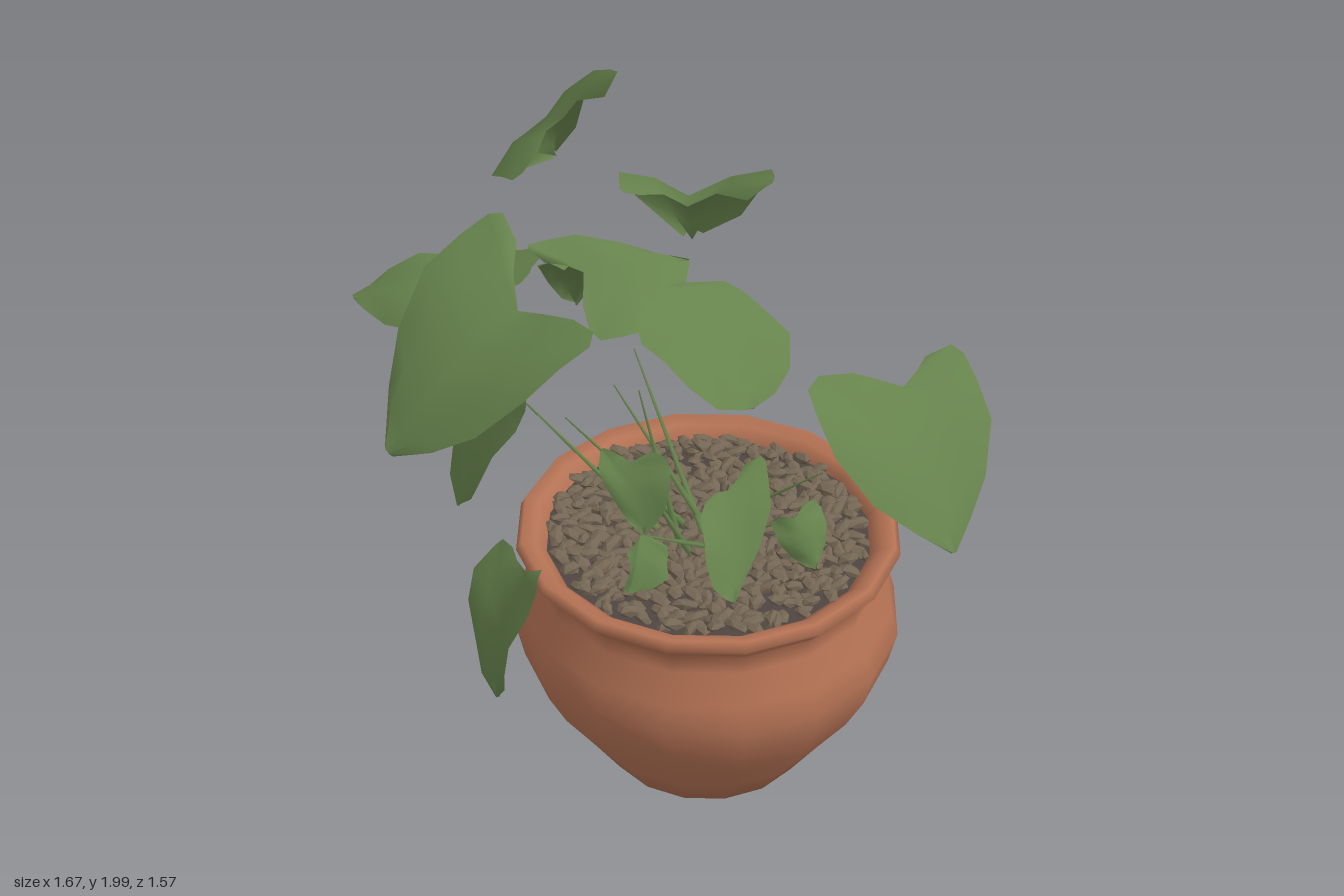
import * as THREE from 'three';
import { mergeGeometries } from 'three/addons/utils/BufferGeometryUtils.js';

const V = (p) => new THREE.Vector3(...p);
const CENTER = { x: 0.11, z: 0.22 };

// small seeded random generator
function seeded(seed) {
  return () => {
    seed = (seed * 16807) % 2147483647;
    return seed / 2147483647;
  };
}

// Heart outline rows: [share of lobe, edge position, midrib position] along notch-to-tip
const ROWS = [
  [0.5, -0.09, 0], [0.85, -0.08, 0.07], [1, 0, 0.17], [1.06, 0.18, 0.3],
  [1, 0.42, 0.48], [0.72, 0.7, 0.7], [0.38, 0.88, 0.87], [0.02, 1, 1],
];

// Heart-shaped leaf stretched between notch, tip and its two lobes, arched upward;
// a bluntness below 1 squares off the lobes and tip
function leafGeometry(notch, tip, lobeA, lobeB, arch, bluntness = 1) {
  const n = V(notch), axis = V(tip).sub(n);
  const sides = [V(lobeA).sub(n), V(lobeB).sub(n)];
  const up = new THREE.Vector3().crossVectors(sides[0].clone().sub(sides[1]), axis).normalize();
  if (up.y < 0) up.negate();
  const pos = [], index = [];
  const columns = [-1, -0.5, 0, 0.5, 1];
  ROWS.forEach(([share, edge, mid], i) => {
    const a = share ** bluntness;
    for (const c of columns) {
      const s = Math.abs(c);
      const b = mid + (edge - mid) * s;
      const p = n.clone().addScaledVector(sides[c < 0 ? 0 : 1], a * s).addScaledVector(axis, b);
      const lift = arch * axis.length() * (4 * b * (1 - b) * 0.8 + (s === 0.5 ? 0.25 : 0));
      p.addScaledVector(up, lift + (s === 1 ? 0.012 * Math.sin(i * 2.1 + c) : 0));
      pos.push(p.x, p.y, p.z);
    }
  });
  for (let i = 0; i < ROWS.length - 1; i++) {
    for (let j = 0; j < 4; j++) {
      const k = i * 5 + j;
      index.push(k, k + 5, k + 1, k + 1, k + 5, k + 6);
    }
  }
  const g = new THREE.BufferGeometry();
  g.setAttribute('position', new THREE.Float32BufferAttribute(pos, 3));
  g.setIndex(index);
  g.computeVertexNormals();
  return g;
}

// notch, tip, lobe, lobe, arch, bluntness
const LEAVES = {
  topBackLeaf: [[-0.2, 1.81, -0.38], [-0.17, 1.46, -0.78], [-0.06, 1.99, -0.29], [-0.38, 1.75, -0.18], 0.16, 0.8],
  backCentreLeaf: [[0.11, 1.63, -0.14], [0.18, 1.34, -0.43], [0.31, 1.79, 0.04], [-0.1, 1.79, -0.02], 0.22, 0.5],
  frontUpperLeaf: [[-0.03, 1.59, 0.2], [0.18, 1.36, 0.47], [0.21, 1.53, 0.16], [-0.11, 1.57, 0.42], 0.08],
  centreLeaf: [[-0.22, 1.6, 0.1], [0.08, 1.57, 0.05], [-0.36, 1.66, 0.03], [-0.2, 1.5, 0.28], 0.08],
  bigLeftLeaf: [[-0.42, 1.6, 0.26], [-0.79, 1.25, 0.36], [-0.46, 1.75, 0], [-0.27, 1.63, 0.5], 0.1, 0.7],
  backLeftLeaf: [[-0.32, 1.5, -0.13], [-0.63, 1.27, -0.35], [-0.28, 1.44, -0.31], [-0.42, 1.5, -0.02], 0.08, 0.8],
  farLeftLeaf: [[-0.53, 1.52, -0.03], [-0.83, 1.42, -0.16], [-0.5, 1.53, -0.16], [-0.55, 1.46, 0.11], 0.08],
  lowerBackLeaf: [[-0.16, 1.35, -0.33], [-0.14, 1.01, -0.64], [-0.28, 1.37, -0.32], [-0.04, 1.38, -0.32], 0.12],
  frontRightLeaf: [[0.6, 1.35, 0.43], [0.68, 1.0, 0.73], [0.79, 1.38, 0.34], [0.32, 1.43, 0.51], 0.07],
  rightDroopingLeaf: [[0.64, 0.89, 0.07], [0.73, 0.68, -0.04], [0.69, 0.88, -0.05], [0.61, 0.93, 0.18], 0.1],
  leftDroopingLeaf: [[-0.45, 0.91, 0.5], [-0.54, 0.51, 0.54], [-0.44, 0.95, 0.64], [-0.53, 0.92, 0.38], 0.12],
  leftHangingLeaf: [[-0.43, 1.17, 0.02], [-0.58, 0.78, 0], [-0.4, 1.22, 0.18], [-0.47, 1.18, -0.2], 0.08],
  lowFrontLeaf: [[0.13, 1.04, 0.4], [0.11, 0.79, 0.58], [0.24, 1.1, 0.36], [0.04, 1.02, 0.48], 0.06],
  smallUpperLeaf: [[-0.15, 1.2, 0.44], [-0.13, 1.02, 0.53], [-0.06, 1.23, 0.48], [-0.23, 1.22, 0.41], 0.08],
  smallFrontLeaf: [[-0.13, 0.98, 0.48], [-0.18, 0.85, 0.56], [-0.06, 0.94, 0.52], [-0.18, 1.01, 0.6], 0.08],
  smallRightLeaf: [[0.31, 0.95, 0.44], [0.36, 0.81, 0.5], [0.38, 0.97, 0.4], [0.25, 0.92, 0.42], 0.08],
};

// Stem tips; all rise from the middle of the soil
const STEMS = [
  [-0.14, 1.22, 0.1], [-0.1, 1.32, 0.28], [-0.3, 1.24, 0.26], [-0.05, 1.2, -0.1], [-0.42, 1.22, 0.08],
  [0.13, 1.06, 0.4], [-0.15, 1.2, 0.44], [0.4, 1.05, 0.38], [-0.13, 0.98, 0.48], [0.31, 0.95, 0.44],
];

function stemGeometry(tip, i) {
  const a = i * 2.4;
  const base = new THREE.Vector3(0.07 + 0.06 * Math.cos(a), 0.73, 0.24 + 0.06 * Math.sin(a));
  const end = V(tip), dir = end.clone().sub(base);
  const g = new THREE.CylinderGeometry(0.002, 0.011, dir.length(), 5);
  g.applyQuaternion(new THREE.Quaternion().setFromUnitVectors(new THREE.Vector3(0, 1, 0), dir.normalize()));
  const m = base.add(end).multiplyScalar(0.5);
  return g.translate(m.x, m.y, m.z);
}

// Loose stones spread over the soil in a jittered spiral
function pebbleGeometry(count, radius) {
  const rand = seeded(71);
  const list = [];
  for (let i = 0; i < count; i++) {
    const r = radius * Math.sqrt((i + rand()) / count), a = i * 2.39996 + 0.1 * rand();
    const g = new THREE.IcosahedronGeometry(1, 0);
    g.scale(0.028 + 0.018 * rand(), 0.012 + 0.008 * rand(), 0.016 + 0.009 * rand());
    g.rotateZ((rand() - 0.5) * 0.9);
    g.rotateY(rand() * Math.PI * 2);
    g.translate(r * Math.cos(a), 0.752 + 0.025 * rand(), r * Math.sin(a));
    list.push(g);
  }
  return mergeGeometries(list);
}

export function createModel() {
  const group = new THREE.Group();
  const material = (name, color, extra = {}) => {
    const m = new THREE.MeshStandardMaterial({ color, ...extra });
    m.name = name;
    return m;
  };
  const terracotta = material('terracotta', 0xb47254, { side: THREE.DoubleSide });
  const leafGreen = material('leaf green', 0x66824c, { side: THREE.DoubleSide });
  const soilBrown = material('soil brown', 0x4f4643);
  const stoneBrown = material('stone brown', 0x746654, { flatShading: true });
  const add = (name, geometry, mat) => {
    const mesh = new THREE.Mesh(geometry, mat);
    mesh.name = name;
    group.add(mesh);
    return mesh;
  };
  const addAtPot = (...args) => add(...args).position.set(CENTER.x, 0, CENTER.z);

  // Pot with closed base, flared rim and inner lip
  const profile = [
    [0, 0.005], [0.305, 0], [0.39, 0.13], [0.485, 0.27], [0.54, 0.38], [0.562, 0.48], [0.54, 0.56], [0.5, 0.65],
    [0.495, 0.7], [0.53, 0.74], [0.555, 0.77], [0.54, 0.797], [0.5, 0.785], [0.47, 0.76], [0.46, 0.7],
  ].map(([r, y]) => new THREE.Vector2(r, y));
  addAtPot('pot', new THREE.LatheGeometry(profile, 16), terracotta);

  // Soil and stones
  addAtPot('soil', new THREE.CircleGeometry(0.47, 28).rotateX(-Math.PI / 2).translate(0, 0.75, 0), soilBrown);
  addAtPot('pebbles', pebbleGeometry(480, 0.45), stoneBrown);

  // Plant
  add('stems', mergeGeometries(STEMS.map(stemGeometry)), leafGreen);
  for (const [name, leaf] of Object.entries(LEAVES)) add(name, leafGeometry(...leaf), leafGreen);
  return group;
}
